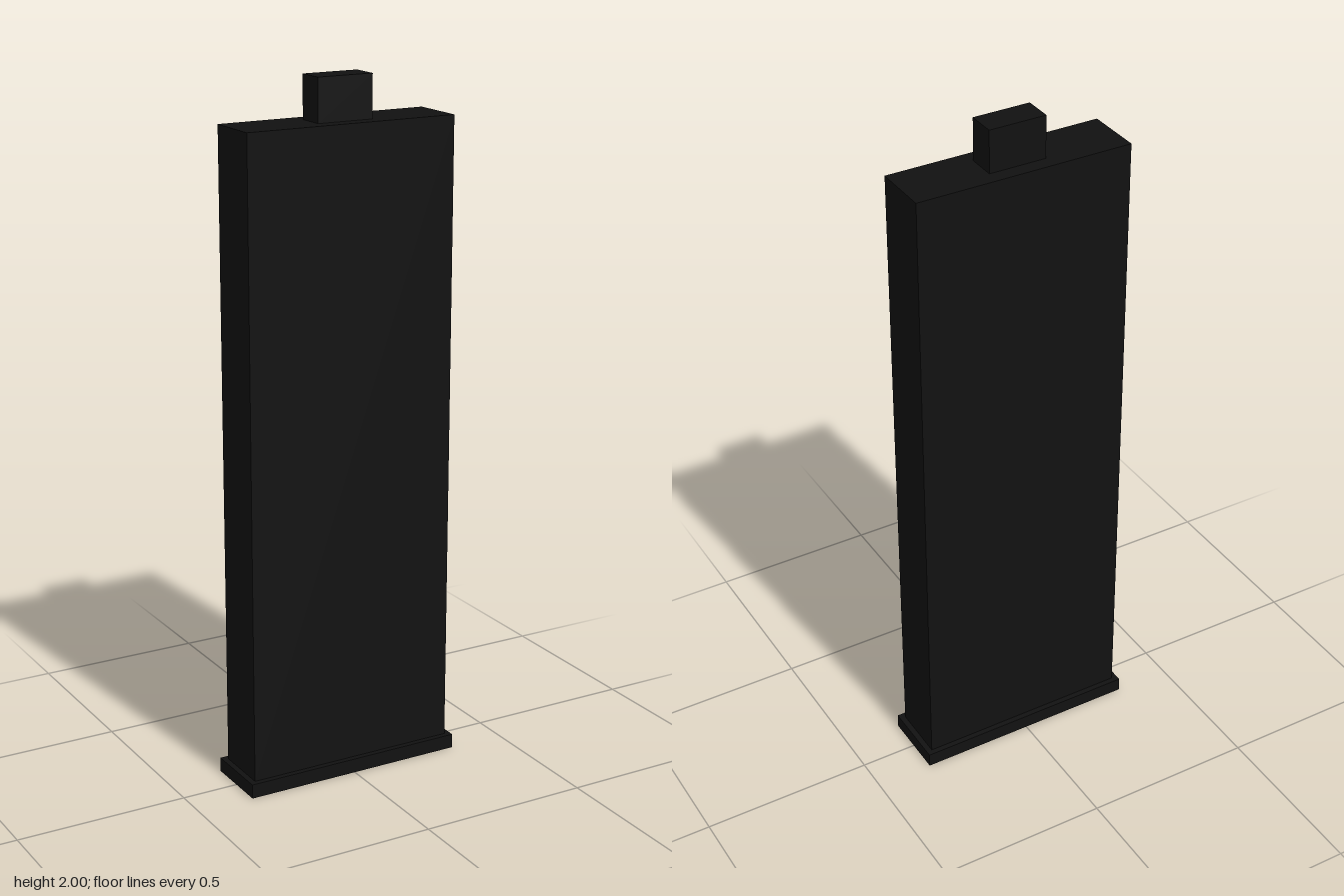
import * as THREE from 'three';

export function createModel() {
  const group = new THREE.Group();
  const black = new THREE.MeshStandardMaterial({ color: 0x111111 });
  black.name = 'black';

  // Adds a centred block spanning bottom..top in y
  const addBlock = (name, width, depth, bottom, top) => {
    const mesh = new THREE.Mesh(new THREE.BoxGeometry(width, top - bottom, depth), black);
    mesh.name = name;
    mesh.position.y = (bottom + top) / 2;
    group.add(mesh);
  };

  addBlock('basePlate', 0.667, 0.2, 0, 0.042);
  addBlock('body', 0.633, 0.167, 0.042, 1.878);
  addBlock('topBlock', 0.167, 0.083, 1.878, 2);

  return group;
}
